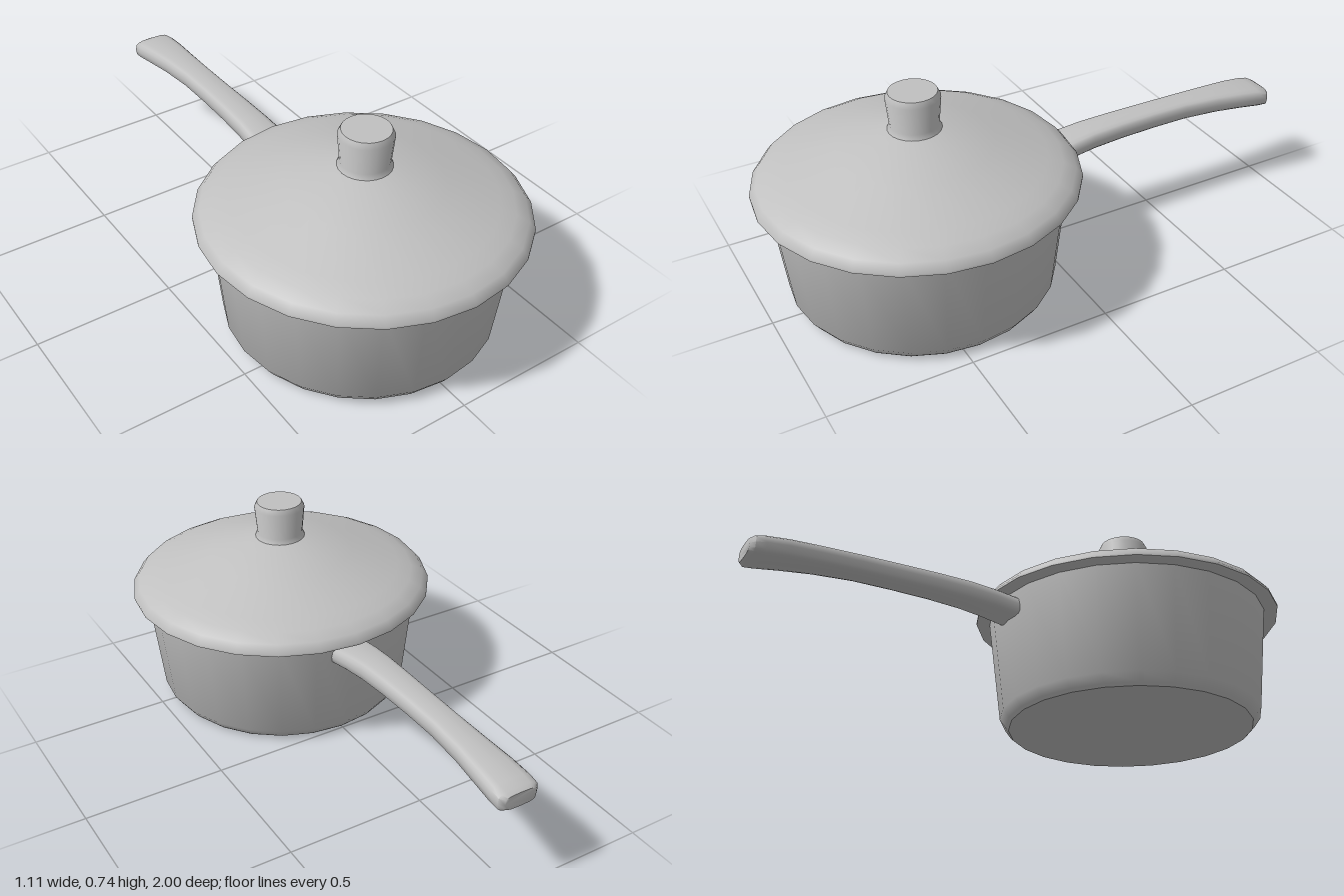
import * as THREE from 'three';
import { toCreasedNormals } from 'three/addons/utils/BufferGeometryUtils.js';

const POT_Z = 0.445;

export function createModel() {
  const model = new THREE.Group();
  const metal = new THREE.MeshStandardMaterial({ color: 0xc0c0c0 });
  metal.name = 'grey metal';

  function add(name, geometry, crease) {
    const mesh = new THREE.Mesh(toCreasedNormals(geometry, crease), metal);
    mesh.name = name;
    model.add(mesh);
    return mesh;
  }

  // Turned parts, each profile running from the underside upwards
  function turned(name, profile, crease) {
    const points = profile.map(([r, y]) => new THREE.Vector2(r, y));
    add(name, new THREE.LatheGeometry(points, 24), crease).position.z = POT_Z;
  }

  turned('pot', [[0, 0], [0.435, 0], [0.445, 0.01], [0.466, 0.04], [0.507, 0.415]], 0.72);
  turned('lid', [
    [0, 0.41], [0.545, 0.41], [0.555, 0.415], [0.555, 0.423], [0.533, 0.45],
    [0.49, 0.472], [0.44, 0.491], [0.265, 0.549], [0.09, 0.605], [0, 0.605],
  ], 0.75);
  turned('lidKnob', [
    [0.092, 0.603], [0.083, 0.622], [0.092, 0.72], [0.082, 0.74], [0, 0.74],
  ], 0.8);

  // Handle: rounded rectangles swept backwards [z, half width, bottom, top]
  const sections = [
    [-0.03, 0.074, 0.317, 0.385], [-0.13, 0.068, 0.333, 0.403],
    [-0.22, 0.062, 0.342, 0.414], [-0.34, 0.058, 0.348, 0.418],
    [-0.48, 0.055, 0.35, 0.419], [-0.62, 0.055, 0.35, 0.418],
    [-0.76, 0.062, 0.343, 0.412], [-0.87, 0.072, 0.333, 0.404],
    [-0.95, 0.077, 0.323, 0.394], [-0.985, 0.075, 0.319, 0.387],
    [-1.0, 0.058, 0.327, 0.378],
  ];
  const sides = 16;
  const positions = [];
  const index = [];
  const round = (v) => Math.sign(v) * Math.pow(Math.abs(v), 0.55);
  for (const [z, w, low, high] of sections) {
    for (let i = 0; i < sides; i++) {
      const a = (i / sides) * Math.PI * 2;
      positions.push(w * round(Math.cos(a)), (low + high) / 2 + ((high - low) / 2) * round(Math.sin(a)), z);
    }
  }
  for (let s = 0; s < sections.length - 1; s++) {
    for (let i = 0; i < sides; i++) {
      const a = s * sides + i;
      const b = s * sides + ((i + 1) % sides);
      index.push(a, b, a + sides, b, b + sides, a + sides);
    }
  }
  // Closed ends
  const last = (sections.length - 1) * sides;
  for (let i = 1; i < sides - 1; i++) {
    index.push(0, i, i + 1);
    index.push(last, last + i + 1, last + i);
  }
  // Loops run counter-clockwise seen from +z, so side faces are flipped outward
  const sideCount = (sections.length - 1) * sides * 6;
  for (let k = 0; k < sideCount; k += 3) {
    const a = new THREE.Vector3().fromArray(positions, index[k] * 3);
    const b = new THREE.Vector3().fromArray(positions, index[k + 1] * 3);
    const c = new THREE.Vector3().fromArray(positions, index[k + 2] * 3);
    const centre = a.clone().add(b).add(c).divideScalar(3);
    const normal = b.sub(a).cross(c.sub(a));
    if (normal.x * centre.x + normal.y * (centre.y - 0.37) < 0) {
      [index[k + 1], index[k + 2]] = [index[k + 2], index[k + 1]];
    }
  }
  const handle = new THREE.BufferGeometry();
  handle.setAttribute('position', new THREE.Float32BufferAttribute(positions, 3));
  handle.setIndex(index);
  add('handle', handle, 0.85);

  return model;
}
